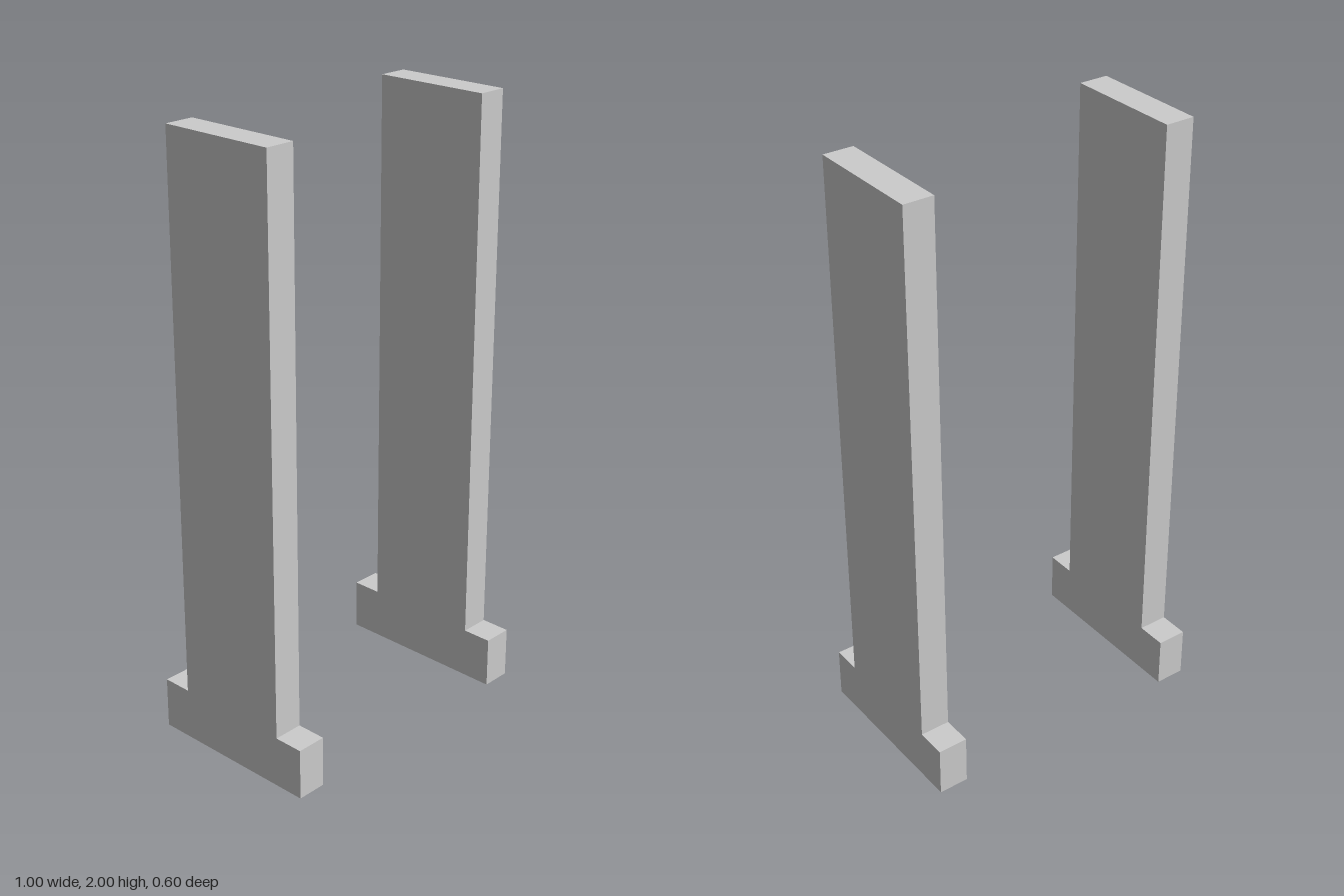
import * as THREE from 'three';

const THICKNESS = 0.1;
const CENTRE_X = 0.45;

// Upright panel and its wider foot as one flush outline
function makePostGeometry() {
  const half = [[0.3, 0], [0.3, 0.17], [0.2, 0.17], [0.2, 2]];
  const mirrored = half.map(([z, y]) => [-z, y]).reverse();
  const shape = new THREE.Shape([...half, ...mirrored].map(([z, y]) => new THREE.Vector2(z, y)));
  const geometry = new THREE.ExtrudeGeometry(shape, { depth: THICKNESS, bevelEnabled: false });
  geometry.translate(0, 0, -THICKNESS / 2);
  geometry.rotateY(Math.PI / 2);
  return geometry;
}

export function createModel() {
  const model = new THREE.Group();
  model.name = 'gatePosts';
  const material = new THREE.MeshStandardMaterial({ color: 0xcccccc, flatShading: true });
  const geometry = makePostGeometry();

  // Matching pair of posts, one on each side
  for (const [name, side] of [['leftPost', 1], ['rightPost', -1]]) {
    const post = new THREE.Mesh(geometry, material);
    post.name = name;
    post.position.x = side * CENTRE_X;
    model.add(post);
  }
  return model;
}
